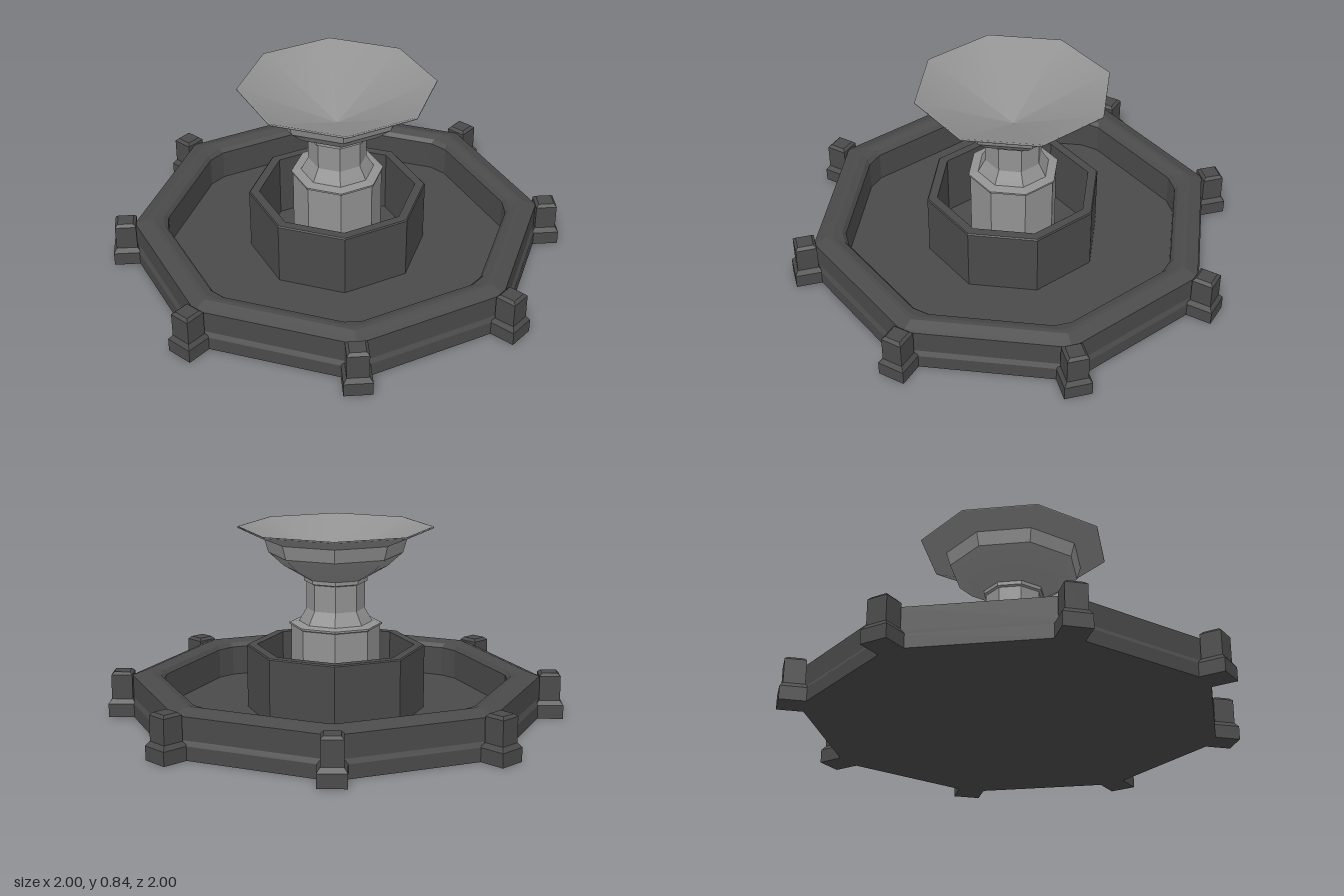
import * as THREE from 'three';

const darkStone = new THREE.MeshStandardMaterial({ color: 0x4a4a4a });
darkStone.name = 'dark stone';
const paleStone = new THREE.MeshStandardMaterial({ color: 0x929292 });
paleStone.name = 'pale stone';

function flat(geometry) {
  const g = geometry.index ? geometry.toNonIndexed() : geometry;
  g.computeVertexNormals();
  return g;
}

// Turned part with few sides; profile is [radius, height] from the bottom up
function turned(profile, sides = 8, smooth = false) {
  const g = new THREE.LatheGeometry(profile.map(([r, y]) => new THREE.Vector2(r, y)), sides);
  return smooth ? g : flat(g);
}

// Octagonal shell whose corners are cut by a given amount; rings are [radius, height, cut]
function cutOctagon(rings) {
  const positions = [], index = [], n = 16;
  for (const [r, y, cut] of rings) {
    for (let i = 0; i < 8; i++) {
      const corner = (k) => new THREE.Vector3(r * Math.sin(k * Math.PI / 4), y, r * Math.cos(k * Math.PI / 4));
      const c = corner(i);
      for (const step of [-1, 1]) {
        const d = corner(i + step).sub(c);
        if (d.length() > 0) d.setLength(cut);
        positions.push(...c.clone().add(d).toArray());
      }
    }
  }
  for (let j = 0; j < rings.length - 1; j++) {
    for (let i = 0; i < n; i++) {
      const a = j * n + i, b = j * n + (i + 1) % n;
      index.push(a, b, a + n, b + n, a + n, b);
    }
  }
  const g = new THREE.BufferGeometry();
  g.setAttribute('position', new THREE.Float32BufferAttribute(positions, 3));
  g.setIndex(index);
  return flat(g);
}

export function createModel() {
  const model = new THREE.Group();
  model.name = 'fountain';
  const add = (name, geometry, material) => {
    const mesh = new THREE.Mesh(geometry, material);
    mesh.name = name;
    model.add(mesh);
    return mesh;
  };

  // Pool: underside, stepped outer wall, rounded rim, inner wall and floor
  add('pool', cutOctagon([
    [0, 0, 0], [0.912, 0, 0], [0.912, 0.06, 0], [0.9, 0.08, 0], [0.9, 0.178, 0],
    [0.88, 0.185, 0], [0.84, 0.2, 0], [0.82, 0.2, 0.02], [0.785, 0.188, 0.04],
    [0.77, 0.17, 0.045], [0.77, 0.035, 0.045], [0, 0.035, 0],
  ]), darkStone);

  // Square posts at the eight corners
  const q = Math.SQRT2;
  const postGeometry = turned([
    [0, 0], [0.06 * q, 0], [0.06 * q, 0.06], [0.046 * q, 0.08],
    [0.046 * q, 0.188], [0.034 * q, 0.2], [0, 0.2],
  ], 4).rotateY(Math.PI / 4);
  for (let i = 0; i < 8; i++) {
    const a = i * Math.PI / 4;
    const post = add('post' + (i + 1), postGeometry, darkStone);
    post.position.set(0.94 * Math.sin(a), 0, 0.94 * Math.cos(a));
    post.rotation.y = a;
  }

  // Open inner basin
  add('innerBasin', turned([
    [0.39, 0.03], [0.39, 0.315], [0.385, 0.32], [0.345, 0.32], [0.345, 0.03],
  ]), darkStone);

  // Pedestal with a lip, sloped shoulder, column and collar
  add('pedestal', turned([
    [0.195, 0.03], [0.195, 0.408], [0.202, 0.412], [0.202, 0.42], [0.16, 0.427],
    [0.15, 0.445], [0.127, 0.485], [0.127, 0.6], [0.138, 0.605], [0.138, 0.622],
  ]), paleStone);

  // Upper bowl: curved underside, faceted band, flared rim and funnel
  add('bowlUnderside', turned([[0.136, 0.62], [0.225, 0.67], [0.292, 0.73]], 8, true), paleStone);
  add('bowlBand', turned([[0.292, 0.73], [0.31, 0.79]]), paleStone);
  add('bowlFlare', turned([[0.31, 0.79], [0.425, 0.836], [0.425, 0.842]], 8, true), paleStone);
  add('bowlFunnel', turned([[0.425, 0.842], [0.418, 0.842], [0, 0.655]], 8, true), paleStone);

  return model;
}
